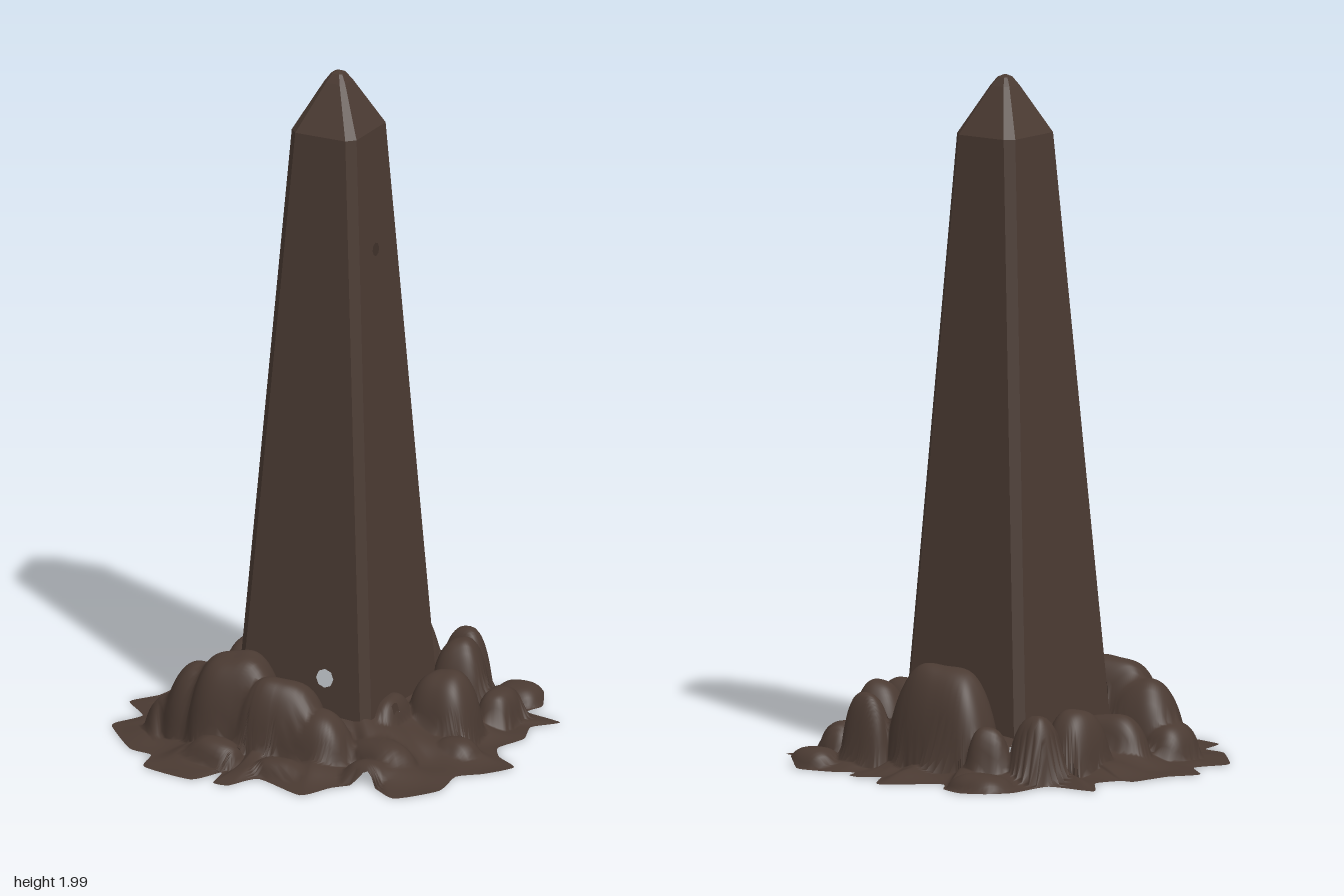
import * as THREE from 'three';

const stone = new THREE.MeshStandardMaterial({ color: 0x4a3a32, side: THREE.DoubleSide });
stone.name = 'dark brown stone';

// Jagged outline of the rubble skirt (x, z), clockwise from the back
const RIM = [
  [0, -.61], [.05, -.55], [.08, -.5], [.13, -.54], [.17, -.53], [.19, -.48], [.25, -.51], [.35, -.525], [.42, -.48],
  [.445, -.42], [.43, -.36], [.555, -.325], [.5, -.25], [.53, -.15], [.5, -.05], [.54, .02], [.62, .08], [.57, .17],
  [.51, .23], [.525, .36], [.44, .48], [.32, .41], [.24, .48], [.19, .58], [.02, .51], [-.03, .6], [-.08, .6],
  [-.1, .51], [-.15, .605], [-.32, .57], [-.35, .47], [-.43, .45], [-.56, .31], [-.57, .27], [-.53, .18], [-.62, .09],
  [-.57, 0], [-.55, -.13], [-.51, -.14], [-.48, -.22], [-.565, -.34], [-.41, -.35], [-.4, -.5], [-.35, -.57],
  [-.28, -.6], [-.2, -.57], [-.14, -.5],
];

// Boulders: x, z, radius x, radius z, height, turn
const BOULDERS = [
  [-.17, .28, .15, .11, .3, .25], [-.29, .26, .12, .1, .23, .2], [-.39, .25, .08, .09, .13, 0], [-.02, .3, .15, .1, .245, .15],
  [.1, .31, .12, .09, .17, 0], [.28, .26, .13, .08, .1, -.3], [.22, .09, .06, .11, .17, 0],
  [0, -.31, .18, .105, .32, 0], [.22, -.38, .08, .055, .23, 0], [.27, -.25, .09, .09, .24, .3],
  [.33, -.04, .11, .1, .22, 0], [.4, -.25, .06, .09, .12, 0], [.43, .08, .08, .06, .07, 0], [-.33, -.3, .08, .08, .2, 0],
  [-.33, -.11, .08, .11, .2, 0], [-.3, .08, .13, .07, .16, .2], [-.21, -.37, .07, .06, .17, .5], [-.28, -.5, .1, .08, .06, 0],
  [.36, -.44, .08, .07, .07, 0], [-.16, .44, .09, .06, .09, 0], [.05, .44, .09, .06, .06, 0], [.3, .37, .08, .06, .07, 0],
];

// Open gaps between the stones: x, z, radius x, radius z
const GAPS = [[-.235, -.265, .03, .045], [.08, .228, .028, .01], [.252, .11, .006, .015]];

function moundHeight(x, z, t) {
  const ripple = Math.sin(x * 23 + z * 9) * Math.sin(z * 21 - x * 7);
  let y = .014 + .12 * Math.pow(1 - t, 1.6) + .014 * ripple * Math.sin(Math.PI * t);
  for (const [bx, bz, rx, rz, h, turn] of BOULDERS) {
    const dx = x - bx, dz = z - bz, c = Math.cos(turn), s = Math.sin(turn);
    const u = (dx * c - dz * s) / rx, v = (dx * s + dz * c) / rz;
    const d = Math.pow(Math.abs(u), 2.7) + Math.pow(Math.abs(v), 2.7);
    if (d < 1) y = Math.max(y, h * Math.pow(1 - d, .55) * (1 + .05 * ripple));
  }
  return y;
}

// Hollow sheet of boulders running from the shaft to the jagged rim
function moundGeometry() {
  const points = RIM.map(([x, z]) => new THREE.Vector3(x, 0, z));
  const curve = new THREE.CatmullRomCurve3(points, true, 'catmullrom', .3);
  const around = RIM.length * 6, rings = 56, pos = [], index = [];
  for (let i = 0; i < around; i++) {
    const rim = curve.getPoint(i / around);
    const k = .205 / Math.max(Math.abs(rim.x), Math.abs(rim.z));
    for (let j = 0; j <= rings; j++) {
      const t = j / rings, f = k + (1 - k) * t;
      pos.push(rim.x * f, moundHeight(rim.x * f, rim.z * f, t), rim.z * f);
    }
  }
  const inGap = (x, z) => GAPS.some(([gx, gz, rx, rz]) => Math.hypot((x - gx) / rx, (z - gz) / rz) < 1);
  for (let i = 0; i < around; i++) {
    for (let j = 0; j < rings; j++) {
      const a = i * (rings + 1) + j, d = ((i + 1) % around) * (rings + 1) + j;
      if (!inGap(pos[a * 3], pos[a * 3 + 2])) index.push(a, d + 1, a + 1, a, d, d + 1);
    }
  }
  const geo = new THREE.BufferGeometry();
  geo.setAttribute('position', new THREE.Float32BufferAttribute(pos, 3));
  geo.setIndex(index);
  geo.computeVertexNormals();
  return geo;
}

// Taper of the shaft, with cut corners
const BOTTOM = .1, SHOULDER = 1.83, CUT = .024;
const mix = (a, b, y) => a + (b - a) * (y - BOTTOM) / (SHOULDER - BOTTOM);
const halfX = y => mix(.219, .105, y);
const halfZ = y => mix(.225, .113, y);
const midZ = y => mix(-.006, -.018, y);

// One tapered face; side 0 front, 1 left, 2 back, 3 right; hole = [across, y, radius]
function panelGeometry(side, hole) {
  const width = y => (side % 2 ? halfZ(y) : halfX(y)) - CUT, depth = side % 2 ? halfX : halfZ;
  const shape = new THREE.Shape([
    new THREE.Vector2(-width(BOTTOM), BOTTOM), new THREE.Vector2(width(BOTTOM), BOTTOM),
    new THREE.Vector2(width(SHOULDER), SHOULDER), new THREE.Vector2(-width(SHOULDER), SHOULDER),
  ]);
  if (hole) shape.holes.push(new THREE.Path().absarc(hole[0], hole[1], hole[2], 0, Math.PI * 2, true));
  const geo = new THREE.ShapeGeometry(shape, 4);
  const p = geo.attributes.position;
  for (let i = 0; i < p.count; i++) p.setZ(i, depth(p.getY(i)));
  geo.rotateY(side * Math.PI / 2);
  for (let i = 0; i < p.count; i++) p.setZ(i, p.getZ(i) + midZ(p.getY(i)));
  geo.computeVertexNormals();
  return geo;
}

// Eight-sided cross-section: a rectangle with cut corners, starting along the front edge
function ring(y, hx, hz, cut, cz) {
  const x = hx - cut, z = hz - cut;
  return [[-x, hz], [x, hz], [hx, z], [hx, -z], [x, -hz], [-x, -hz], [-hx, -z], [-hx, z]]
    .map(([px, pz]) => [px, y, pz + cz]);
}

// Flat faces between stacked cross-sections, on the listed sides only
function loft(rings, sides) {
  const pos = [];
  for (let r = 0; r < rings.length - 1; r++) {
    for (const s of sides) {
      const n = (s + 1) % 8, [a, b, c, d] = [rings[r][s], rings[r][n], rings[r + 1][n], rings[r + 1][s]];
      pos.push(...a, ...b, ...c, ...a, ...c, ...d);
    }
  }
  const geo = new THREE.BufferGeometry();
  geo.setAttribute('position', new THREE.Float32BufferAttribute(pos, 3));
  geo.computeVertexNormals();
  return geo;
}

export function createModel() {
  const group = new THREE.Group();
  group.name = 'obelisk';
  const add = (name, geo, parent = group) => {
    const mesh = new THREE.Mesh(geo, stone);
    mesh.name = name;
    parent.add(mesh);
  };

  // Four faces, two of them pierced, joined by cut corners
  const shaft = new THREE.Group();
  shaft.name = 'shaft';
  group.add(shaft);
  const holes = [[.075, .235, .028], [-.012, 1.48, .02], null, null];
  ['frontFace', 'leftFace', 'backFace', 'rightFace'].forEach((name, i) => add(name, panelGeometry(i, holes[i]), shaft));
  const shaftRing = y => ring(y, halfX(y), halfZ(y), CUT, midZ(y));
  add('cutCorners', loft([shaftRing(BOTTOM), shaftRing(SHOULDER)], [1, 3, 5, 7]), shaft);

  // Pyramid cap with a blunted tip
  const cz = midZ(SHOULDER);
  add('cap', loft([
    shaftRing(SHOULDER), ring(1.968, .034, .036, .012, cz), ring(1.992, .018, .019, .007, cz), ring(2, .001, .001, 0, cz),
  ], [0, 1, 2, 3, 4, 5, 6, 7]));

  add('boulderMound', moundGeometry());
  return group;
}
